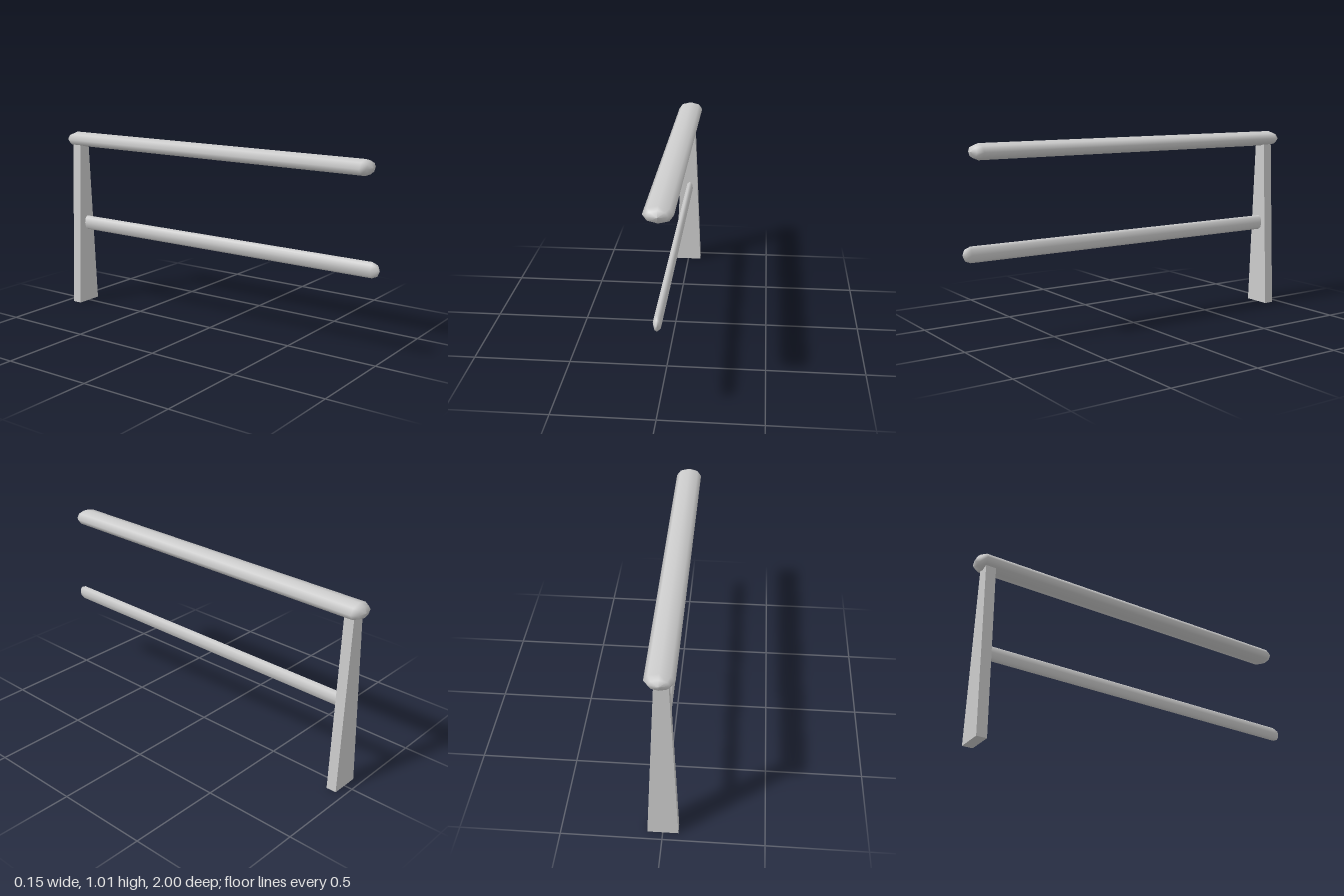
import * as THREE from 'three';

const material = new THREE.MeshStandardMaterial({ color: 0xcccccc });

// Eight-sided rail with rounded ends, running along z and squashed to an oval section
function rail(name, rx, ry, length, x, y, z) {
  const cap = 0.041, half = length / 2, profile = [];
  for (let i = 0; i <= 2; i++) {
    const a = (i * Math.PI) / 4;
    profile.push(new THREE.Vector2(Math.sin(a), -half + cap * (1 - Math.cos(a))));
  }
  for (let i = 2; i >= 0; i--) profile.push(new THREE.Vector2(profile[i].x, -profile[i].y));
  const geometry = new THREE.LatheGeometry(profile, 8);
  geometry.rotateX(Math.PI / 2).scale(rx, ry, 1);
  const mesh = new THREE.Mesh(geometry, material);
  mesh.name = name;
  mesh.position.set(x, y, z);
  return mesh;
}

export function createModel() {
  const group = new THREE.Group();
  group.name = 'railing';

  // Tapered flat post at the back end
  const outline = new THREE.Shape([
    new THREE.Vector2(-0.077, 0),
    new THREE.Vector2(0.076, 0),
    new THREE.Vector2(0.032, 0.96),
    new THREE.Vector2(-0.034, 0.96),
  ]);
  const post = new THREE.Mesh(
    new THREE.ExtrudeGeometry(outline, { depth: 0.055, bevelEnabled: false }),
    material
  );
  post.name = 'post';
  post.position.z = -0.955;
  group.add(post);

  // Wide handrail resting on the post, narrow lower rail set into its front
  group.add(rail('handrail', 0.07, 0.041, 1.945, 0.005, 0.972, -0.0275));
  group.add(rail('lowerRail', 0.021, 0.041, 1.945, 0.005, 0.479, 0.0275));

  return group;
}
